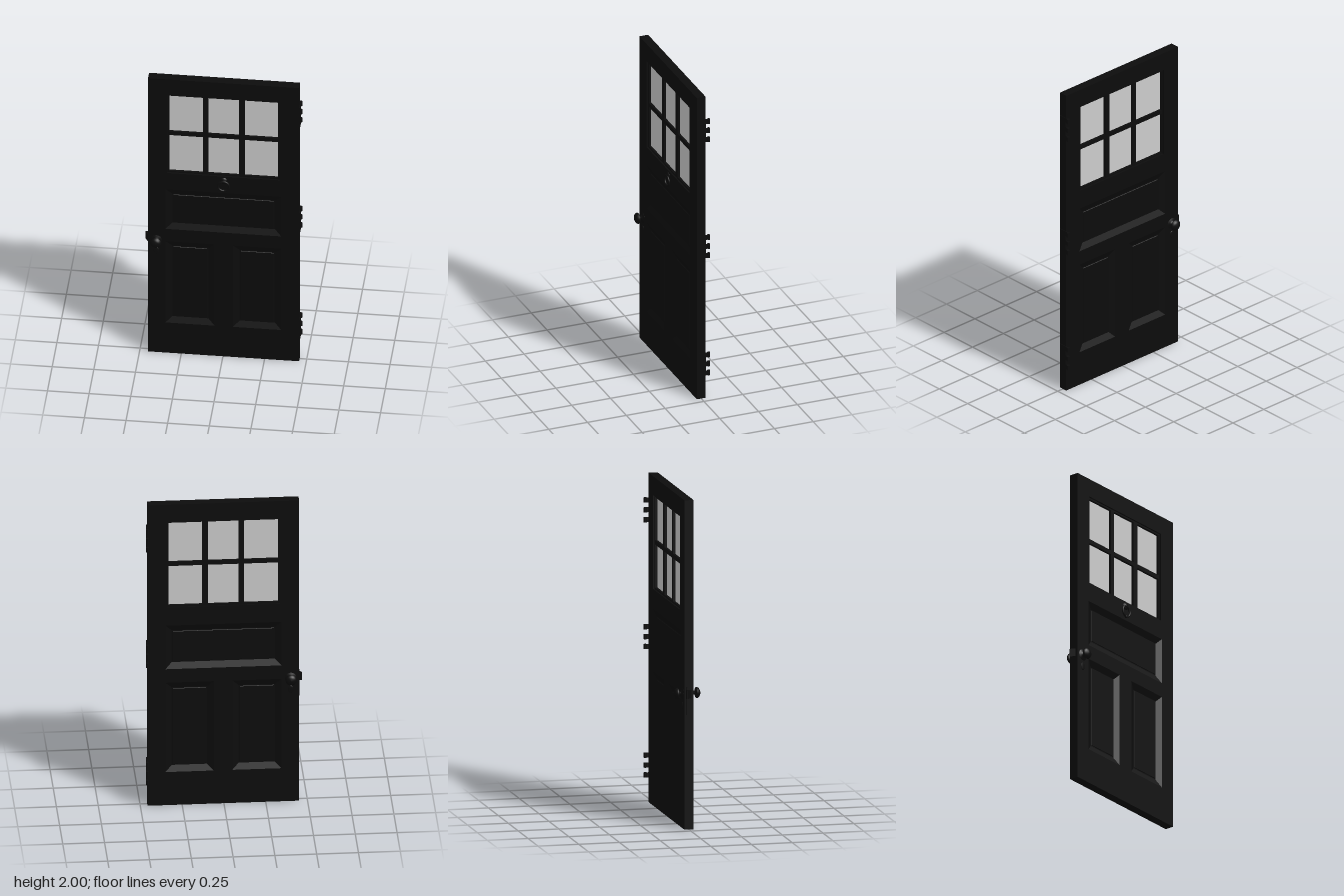
import * as THREE from 'three';

const black = new THREE.MeshStandardMaterial({ color: 0x0c0c0c });
const pane = new THREE.MeshStandardMaterial({ color: 0xcccccc });

const D = 0.028; // half thickness of the door
const CX = 0.004; // centre line of the leaf

function add(parent, name, geometry, x = 0, y = 0, z = 0, material = black) {
  const mesh = new THREE.Mesh(geometry, material);
  mesh.name = name;
  mesh.position.set(x, y, z);
  parent.add(mesh);
  return mesh;
}

function rect(Type, [x0, x1, y0, y1]) {
  return new Type([[x0, y0], [x1, y0], [x1, y1], [x0, y1]].map(p => new THREE.Vector2(...p)));
}

// Flat board with rectangular openings, centred on z = 0
function board(outline, openings, half) {
  const shape = rect(THREE.Shape, outline);
  shape.holes = openings.map(o => rect(THREE.Path, o));
  return new THREE.ExtrudeGeometry(shape, { depth: half * 2, bevelEnabled: false }).translate(0, 0, -half);
}

// Panel face: sloped border running down to a sunken flat field
function sunkenPanel([x0, x1, y0, y1], border, lip, depth) {
  const ring = (inset, z) => [
    [x0 + inset, y0 + inset, z], [x1 - inset, y0 + inset, z],
    [x1 - inset, y1 - inset, z], [x0 + inset, y1 - inset, z]];
  const rings = [ring(0, D), ring(border - lip, D - depth), ring(border, D - depth), ring(border + 0.002, D - depth + 0.003)];
  const v = [];
  const quad = (a, b, c, d) => v.push(...a, ...b, ...c, ...a, ...c, ...d);
  for (let r = 0; r < rings.length - 1; r++) {
    for (let i = 0; i < 4; i++) {
      const j = (i + 1) % 4;
      quad(rings[r][i], rings[r][j], rings[r + 1][j], rings[r + 1][i]);
    }
  }
  quad(...rings[rings.length - 1]);
  const g = new THREE.BufferGeometry();
  g.setAttribute('position', new THREE.Float32BufferAttribute(v, 3));
  g.computeVertexNormals();
  return g;
}

function lathe(points, segments = 32) {
  return new THREE.LatheGeometry(points.map(p => new THREE.Vector2(...p)), segments).rotateX(Math.PI / 2);
}

export function createModel() {
  const door = new THREE.Group();
  door.name = 'door';

  // Stiles and rails
  const windowHole = [-0.335, 0.34, 1.315, 1.885];
  const panels = [
    [-0.345, 0.35, 0.905, 1.195],
    [-0.345, -0.05, 0.22, 0.815],
    [0.06, 0.35, 0.22, 0.815]];
  add(door, 'doorFrame', board([-0.45, 0.457, 0, 2], [windowHole, ...panels], D));

  // Sunken panels on both faces
  for (const p of panels) {
    add(door, 'frontPanel', sunkenPanel(p, 0.045, 0.006, 0.016));
    const back = [-p[1], -p[0], p[2], p[3]];
    add(door, 'backPanel', sunkenPanel(back, 0.045, 0.006, 0.016)).rotation.y = Math.PI;
  }

  // Glazing bars and glass
  const lights = [];
  for (const [x0, x1] of [[-0.325, -0.12], [-0.09, 0.095], [0.13, 0.33]]) {
    for (const [y0, y1] of [[1.325, 1.587], [1.613, 1.875]]) lights.push([x0, x1, y0, y1]);
  }
  add(door, 'glazingBars', board(windowHole, lights, 0.018));
  for (const [x0, x1, y0, y1] of lights) {
    add(door, 'glassPane', new THREE.BoxGeometry(x1 - x0, y1 - y0, 0.006),
      (x0 + x1) / 2, (y0 + y1) / 2, 0, pane);
  }

  // Hinges: leaf on the door edge and three knuckles behind
  for (const y of [1.775, 1.005, 0.225]) {
    const hinge = new THREE.Group();
    hinge.name = 'hinge';
    hinge.position.set(0.459, y, 0);
    door.add(hinge);
    add(hinge, 'hingeLeaf', new THREE.BoxGeometry(0.005, 0.15, 0.05), 0, 0, -0.003);
    for (const dy of [-0.06, 0, 0.06]) {
      add(hinge, 'hingeKnuckle', new THREE.CylinderGeometry(0.0095, 0.0095, 0.03, 20), 0, dy, -0.047);
      add(hinge, 'hingeTab', new THREE.BoxGeometry(0.004, 0.03, 0.022), 0, dy, -0.034);
    }
  }

  // Mushroom knobs with flared collars and keyhole covers on both faces
  for (const side of [1, -1]) {
    const handle = new THREE.Group();
    handle.name = side > 0 ? 'frontHandle' : 'backHandle';
    handle.position.set(-0.4, 0.82, 0);
    if (side < 0) handle.rotation.y = Math.PI;
    door.add(handle);
    add(handle, 'knobCollar', lathe([
      [0.035, D - 0.002], [0.034, D + 0.002], [0.022, D + 0.004], [0.014, D + 0.01], [0.01, D + 0.016]]));
    add(handle, 'knob', lathe([
      [0.01, 0.04], [0.012, 0.046], [0.02, 0.05], [0.03, 0.053], [0.034, 0.058],
      [0.033, 0.064], [0.027, 0.072], [0.016, 0.078], [0, 0.08]]));
    add(handle, 'keyholeCover', lathe([[0.016, D - 0.002], [0.016, D + 0.001], [0.013, D + 0.003], [0, D + 0.003]], 24), 0, -0.075, 0)
      .scale.y = 1.5;
  }

  // Latch bolt with slanted nose, and its edge plate
  const nose = new THREE.Shape([[0, 0.017], [0.018, -0.013], [0.018, -0.017], [0, -0.017]]
    .map(p => new THREE.Vector2(...p)));
  add(door, 'latchBolt', new THREE.ExtrudeGeometry(nose, { depth: 0.05, bevelEnabled: false })
    .rotateX(Math.PI / 2).rotateZ(Math.PI), -0.451, 0.797, 0);
  add(door, 'latchPlate', new THREE.BoxGeometry(0.004, 0.17, 0.034), -0.4505, 0.78, 0);

  // Knocker: mount, hanging ring and striker
  const knocker = new THREE.Group();
  knocker.name = 'knocker';
  knocker.position.set(CX, 1.25, D);
  door.add(knocker);
  add(knocker, 'knockerMount', lathe([[0.022, -0.002], [0.022, 0.003], [0.014, 0.009], [0, 0.012]], 24), 0, 0.035, 0);
  add(knocker, 'knockerRing', new THREE.TorusGeometry(0.033, 0.006, 12, 40), 0, 0, 0.008);
  add(knocker, 'knockerStriker', new THREE.SphereGeometry(0.009, 16, 12), 0, -0.034, 0.006);

  return door;
}
